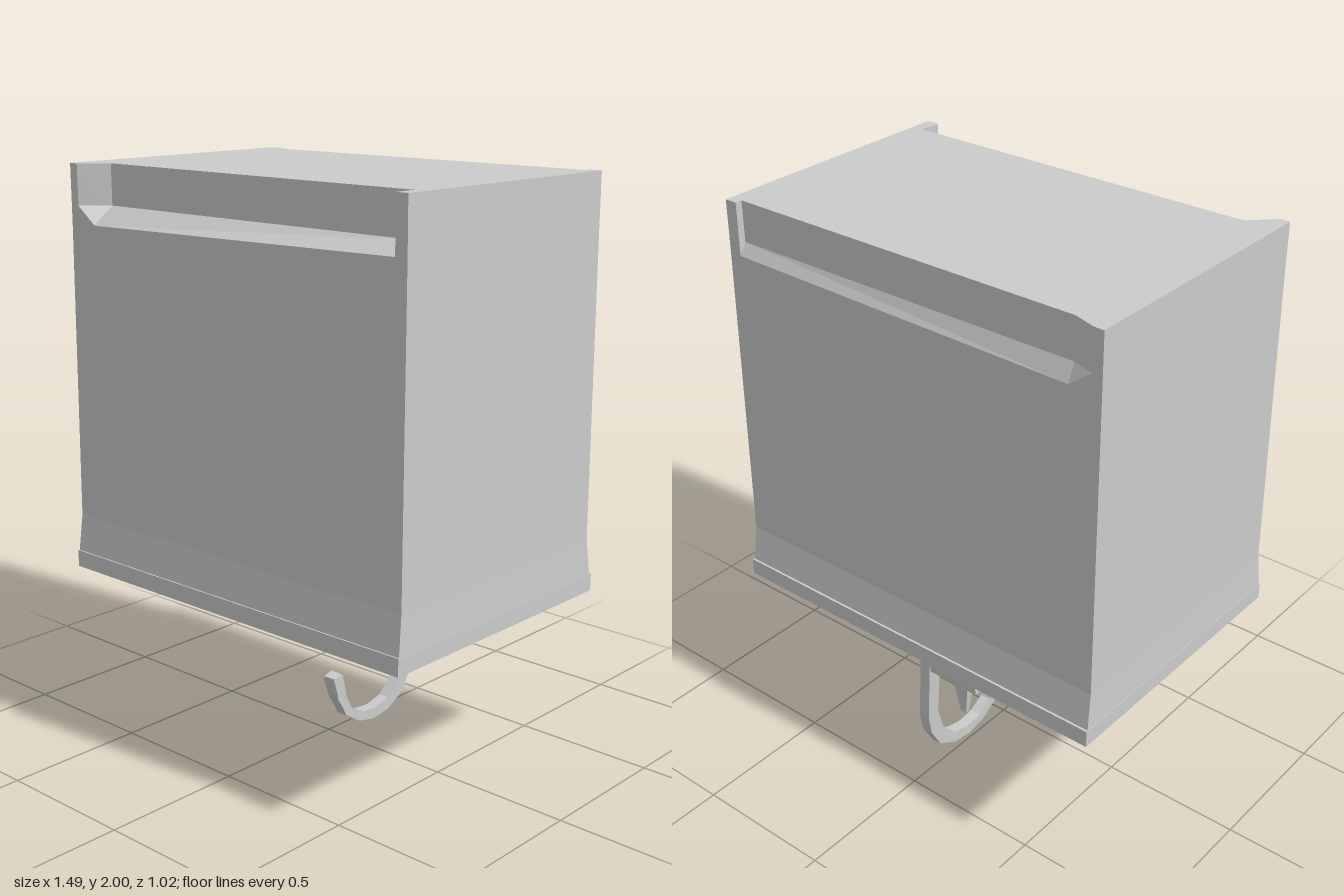
import * as THREE from 'three';

const material = new THREE.MeshStandardMaterial({ color: 0xcccccc, flatShading: true, side: THREE.DoubleSide });

function part(name, geometry) {
  const mesh = new THREE.Mesh(geometry, material);
  mesh.name = name;
  return mesh;
}

function fromTriangles(triangles) {
  const geometry = new THREE.BufferGeometry();
  geometry.setAttribute('position', new THREE.Float32BufferAttribute(triangles.flat(2), 3));
  geometry.computeVertexNormals();
  return geometry;
}

// Skin a stack of rings, listed from bottom to top
function loft(rings, capBottom = true, capTop = true) {
  const tris = [];
  const n = rings[0].length;
  for (let r = 0; r < rings.length - 1; r++) {
    const [a, b] = [rings[r], rings[r + 1]];
    for (let i = 0; i < n; i++) {
      const j = (i + 1) % n;
      tris.push([a[i], a[j], b[j]], [a[i], b[j], b[i]]);
    }
  }
  const [first, last] = [rings[0], rings[rings.length - 1]];
  for (let i = 1; i < n - 1; i++) {
    if (capBottom) tris.push([first[0], first[i + 1], first[i]]);
    if (capTop) tris.push([last[0], last[i], last[i + 1]]);
  }
  return fromTriangles(tris);
}

const rect = (y, x0, x1, z0, z1) => [[x0, y, z1], [x1, y, z1], [x1, y, z0], [x0, y, z0]];
const shapeOf = (points) => new THREE.Shape(points.map(([x, y]) => new THREE.Vector2(x, y)));

// Sloping ledge at the foot of a top notch; s = 1 front, -1 back
function ledge(s, inner) {
  const outer = 0.48;
  const A = [-0.62, 1.86, s * inner], B = [0.69, 1.86, s * inner];
  const C = [-0.70, 1.86, s * outer], D = [-0.62, 1.80, s * outer], E = [0.69, 1.82, s * outer];
  const F = [-0.70, 1.80, s * outer], G = [0.69, 1.80, s * outer];
  const tris = [[C, D, A], [D, E, B], [D, B, A], [C, F, D], [D, G, E]];
  return fromTriangles(s > 0 ? tris : tris.map(([a, b, c]) => [a, c, b]));
}

export function createModel() {
  const model = new THREE.Group();
  model.name = 'wallDispenser';

  // Casing, flaring slightly to the foot
  model.add(part('casing', loft([
    rect(0.64, -0.743, 0.743, -0.502, 0.505),
    rect(0.77, -0.738, 0.738, -0.485, 0.49),
    rect(1.80, -0.735, 0.735, -0.48, 0.48),
  ], false, false)));

  // Bottom rim
  model.add(part('bottomRim', loft([
    rect(0.58, -0.745, 0.745, -0.51, 0.51),
    rect(0.64, -0.745, 0.745, -0.51, 0.51),
  ], false, true)));

  // Top, notched along front and back
  const topShape = shapeOf([
    [-0.735, -0.48], [-0.70, -0.48], [-0.62, -0.455], [0.69, -0.455], [0.69, -0.48], [0.735, -0.48],
    [0.735, 0.48], [0.69, 0.48], [0.69, 0.40], [-0.62, 0.40], [-0.70, 0.48], [-0.735, 0.48],
  ]);
  const top = new THREE.ExtrudeGeometry(topShape, { depth: 0.2, bevelEnabled: false });
  top.rotateX(Math.PI / 2).translate(0, 2, 0);
  model.add(part('notchedTop', top));
  model.add(part('frontLedge', ledge(1, 0.40)));
  model.add(part('backLedge', ledge(-1, 0.455)));

  // Underside with an outlet opening
  const opening = [[-0.53, -0.17], [0.53, -0.17], [0.53, 0.16], [0.40, 0.37], [-0.47, 0.37], [-0.53, 0.3]];
  const underside = shapeOf([[-0.745, -0.51], [0.745, -0.51], [0.745, 0.51], [-0.745, 0.51]]);
  underside.holes.push(shapeOf(opening));
  model.add(part('underside', new THREE.ShapeGeometry(underside).rotateX(Math.PI / 2).translate(0, 0.58, 0)));

  // Recess above the opening
  const openingRing = (y, k) => opening.map(([x, z]) => [x * k, y, 0.1 + (z - 0.1) * k]);
  model.add(part('outletRecess', loft([openingRing(0.58, 1), openingRing(0.9, 0.95)], false, true)));

  // Funnel-shaped bracket under the back edge
  model.add(part('hookBracket', loft([
    rect(0.43, -0.20, 0.01, -0.395, -0.36),
    rect(0.48, -0.20, 0.045, -0.40, -0.35),
    rect(0.58, -0.24, 0.13, -0.46, -0.31),
  ])));

  // Small tooth below the bracket
  model.add(part('tooth', loft([
    rect(0.32, -0.147, -0.122, -0.385, -0.37),
    rect(0.44, -0.163, -0.105, -0.395, -0.36),
  ])));

  // Hook, drawn in the side plane
  const hookShape = shapeOf([
    [-0.40, 0.49], [-0.40, 0.22], [-0.385, 0.14], [-0.34, 0.06], [-0.26, 0.015], [-0.18, 0.003],
    [-0.10, 0.02], [-0.03, 0.065], [-0.005, 0.11], [0.02, 0.15], [0.045, 0.225], [0.00, 0.235],
    [-0.02, 0.16], [-0.06, 0.085], [-0.12, 0.05], [-0.19, 0.043], [-0.26, 0.06], [-0.32, 0.12],
    [-0.35, 0.22], [-0.345, 0.49],
  ].reverse());
  const hook = new THREE.ExtrudeGeometry(hookShape, { depth: 0.042, bevelEnabled: false });
  hook.rotateY(-Math.PI / 2).translate(0.042, 0, 0);
  // Lean the hook sideways towards its foot
  const p = hook.attributes.position;
  for (let i = 0; i < p.count; i++) {
    p.setX(i, p.getX(i) + 0.016 * Math.min(1, (0.49 - p.getY(i)) / 0.3));
  }
  hook.computeVertexNormals();
  model.add(part('hook', hook));

  // Thicker hook tip
  model.add(part('hookTip', loft([
    rect(0.15, 0.02, 0.065, -0.022, 0.02),
    rect(0.23, 0.02, 0.065, -0.002, 0.046),
  ])));

  return model;
}
